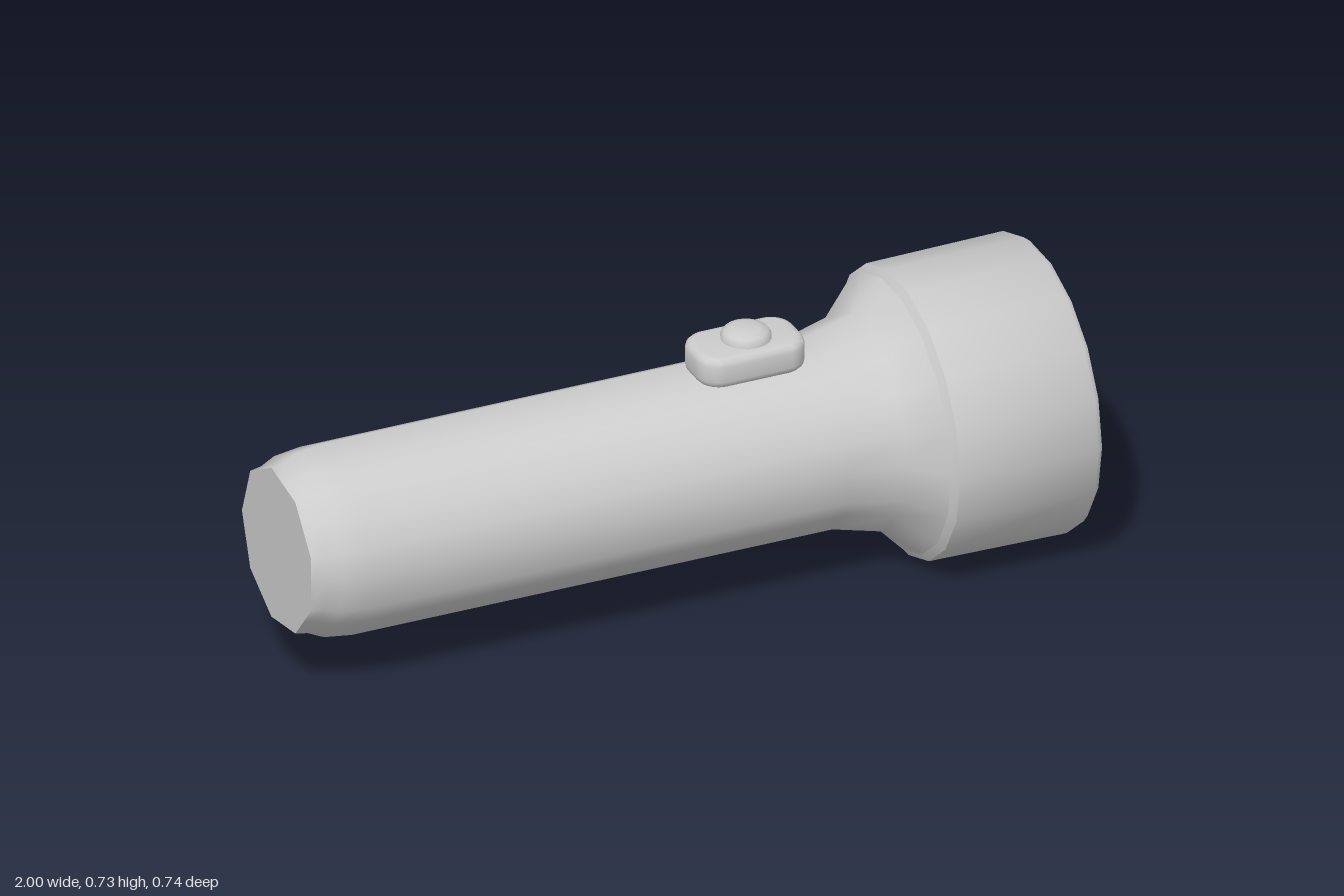
import * as THREE from 'three';
import { toCreasedNormals } from 'three/addons/utils/BufferGeometryUtils.js';

const AXIS_Y = 0.367;
const material = new THREE.MeshStandardMaterial({ color: 0xcccccc });

function part(name, geometry, crease = 0.9) {
  const mesh = new THREE.Mesh(toCreasedNormals(geometry, crease), material);
  mesh.name = name;
  return mesh;
}

// Lathe along +x from [x, radius, sides] rows. Rows with 9 sides pull every
// second vertex of the 18 back onto the chord between its neighbours.
function turned(rows) {
  const points = rows.map(([x, r]) => new THREE.Vector2(r, x));
  const g = new THREE.LatheGeometry(points, 18, Math.PI);
  const p = g.attributes.position;
  for (let i = 0; i < p.count; i++) {
    const row = rows[i % rows.length];
    const column = Math.floor(i / rows.length);
    if (row[2] === 9 && column % 2 === 1) {
      const k = Math.cos(Math.PI / 9);
      p.setXYZ(i, p.getX(i) * k, p.getY(i), p.getZ(i) * k);
    }
  }
  g.rotateZ(-Math.PI / 2);
  g.translate(0, AXIS_Y, 0);
  return g;
}

function roundedRect(w, d, r) {
  const s = new THREE.Shape();
  const x = w / 2, y = d / 2;
  s.absarc(x - r, y - r, r, 0, Math.PI / 2);
  s.absarc(-x + r, y - r, r, Math.PI / 2, Math.PI);
  s.absarc(-x + r, -y + r, r, Math.PI, Math.PI * 1.5);
  s.absarc(x - r, -y + r, r, Math.PI * 1.5, Math.PI * 2);
  s.closePath();
  return s;
}

export function createModel() {
  const group = new THREE.Group();
  group.name = 'flashlight';

  // Handle with flat end cap, flaring into the neck
  group.add(part('handle', turned([
    [-1, 0, 9], [-1, 0.207, 9], [-0.97, 0.212, 9], [-0.93, 0.23, 9],
    [-0.86, 0.239, 9], [0.4, 0.24, 9], [0.53, 0.272, 9], [0.61, 0.345, 18],
  ])));

  // Head shell, front rim and the deep inner wall
  group.add(part('head', turned([
    [0.605, 0.335, 18], [0.625, 0.364, 18], [0.985, 0.369, 18],
    [1, 0.357, 18], [1, 0.342, 9], [0.98, 0.336, 9], [0.75, 0.332, 9], [0.735, 0.318, 9],
  ])));

  // Flat reflector floor with a raised domed lens
  group.add(part('lens', turned([
    [0.735, 0.32, 9], [0.735, 0.245, 9], [0.765, 0.222, 9],
    [0.8, 0.165, 9], [0.82, 0.09, 9], [0.828, 0, 9],
  ])));

  // Switch housing: rounded block with softened edges
  const bevel = 0.02;
  const housing = new THREE.ExtrudeGeometry(roundedRect(0.28 - 2 * bevel, 0.17 - 2 * bevel, 0.04), {
    depth: 0.08 - 2 * bevel, bevelEnabled: true, bevelSize: bevel,
    bevelThickness: bevel, bevelSegments: 3, curveSegments: 5,
  });
  housing.rotateX(-Math.PI / 2);
  housing.translate(0.22, 0.59 + bevel, 0.01);
  group.add(part('switchHousing', housing, 0.7));

  // Round push button
  const profile = [[0.062, 0.66], [0.062, 0.679], [0.054, 0.69], [0.036, 0.697], [0, 0.698]];
  const button = new THREE.LatheGeometry(profile.map(([r, y]) => new THREE.Vector2(r, y)), 18);
  button.translate(0.224, 0, 0.008);
  group.add(part('switchButton', button));

  return group;
}
